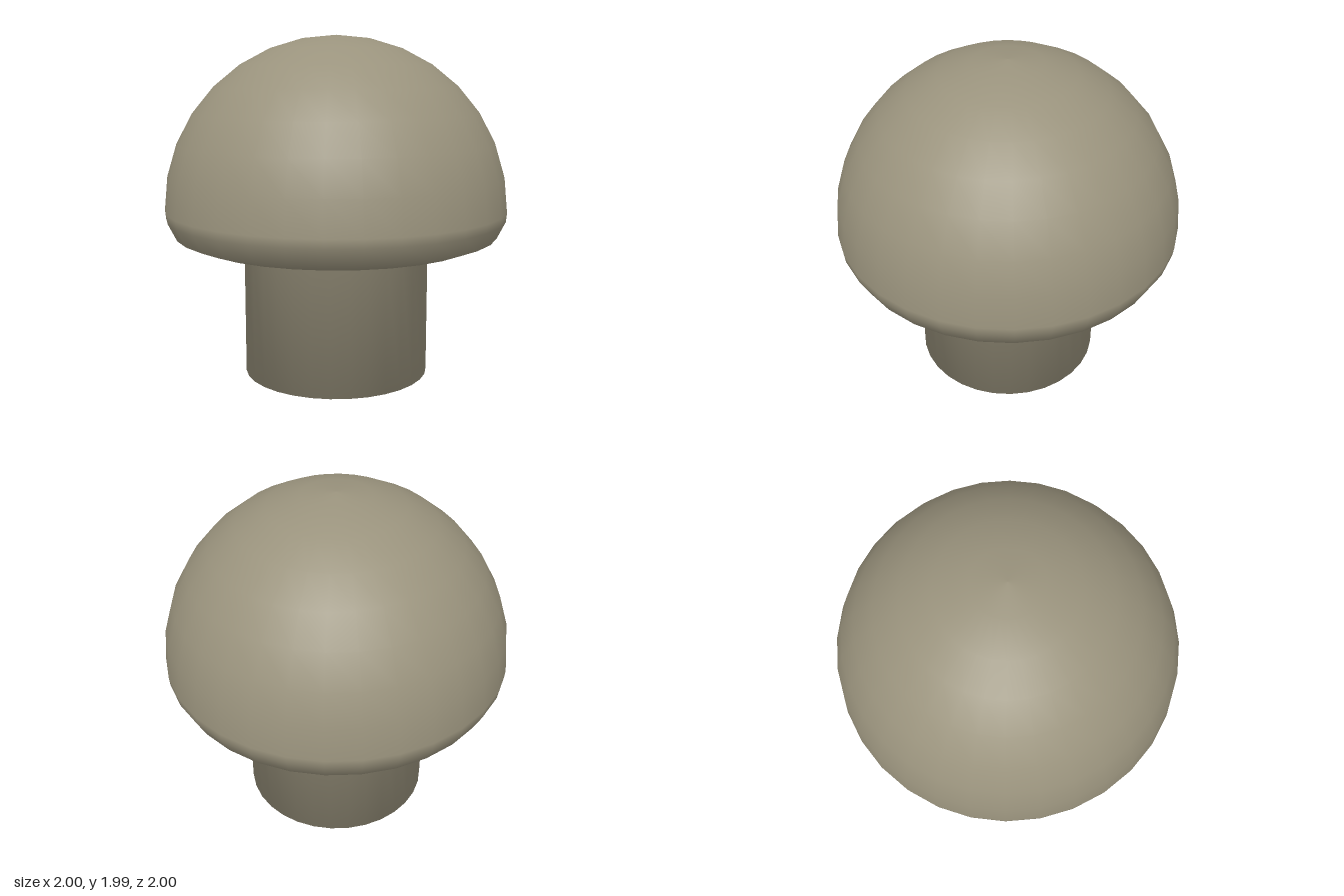
import * as THREE from 'three';

const SIDES = 32;
const STEM_RADIUS = 0.545;
const DOME_CENTRE = 0.99;

export function createModel() {
  const group = new THREE.Group();
  group.name = 'mushroomKnob';
  const material = new THREE.MeshStandardMaterial({ color: 0x9a937d });

  // Stem with closed foot, flat underside of the cap and its bevelled rim
  const profile = [
    [0, 0], [STEM_RADIUS, 0], [STEM_RADIUS, 0.8],
    [0.845, 0.8], [0.945, 0.84], [0.995, 0.94],
  ].map(([r, y]) => new THREE.Vector2(r, y));

  // Hemispherical dome of the cap
  const rings = 8;
  for (let i = 0; i <= rings; i++) {
    const a = (i / rings) * Math.PI / 2;
    const r = i === rings ? 0 : Math.cos(a);
    profile.push(new THREE.Vector2(r, DOME_CENTRE + Math.sin(a)));
  }

  // One continuous smooth skin, so shading flows from stem into cap
  const body = new THREE.Mesh(new THREE.LatheGeometry(profile, SIDES), material);
  body.name = 'stemAndCap';
  group.add(body);
  return group;
}
